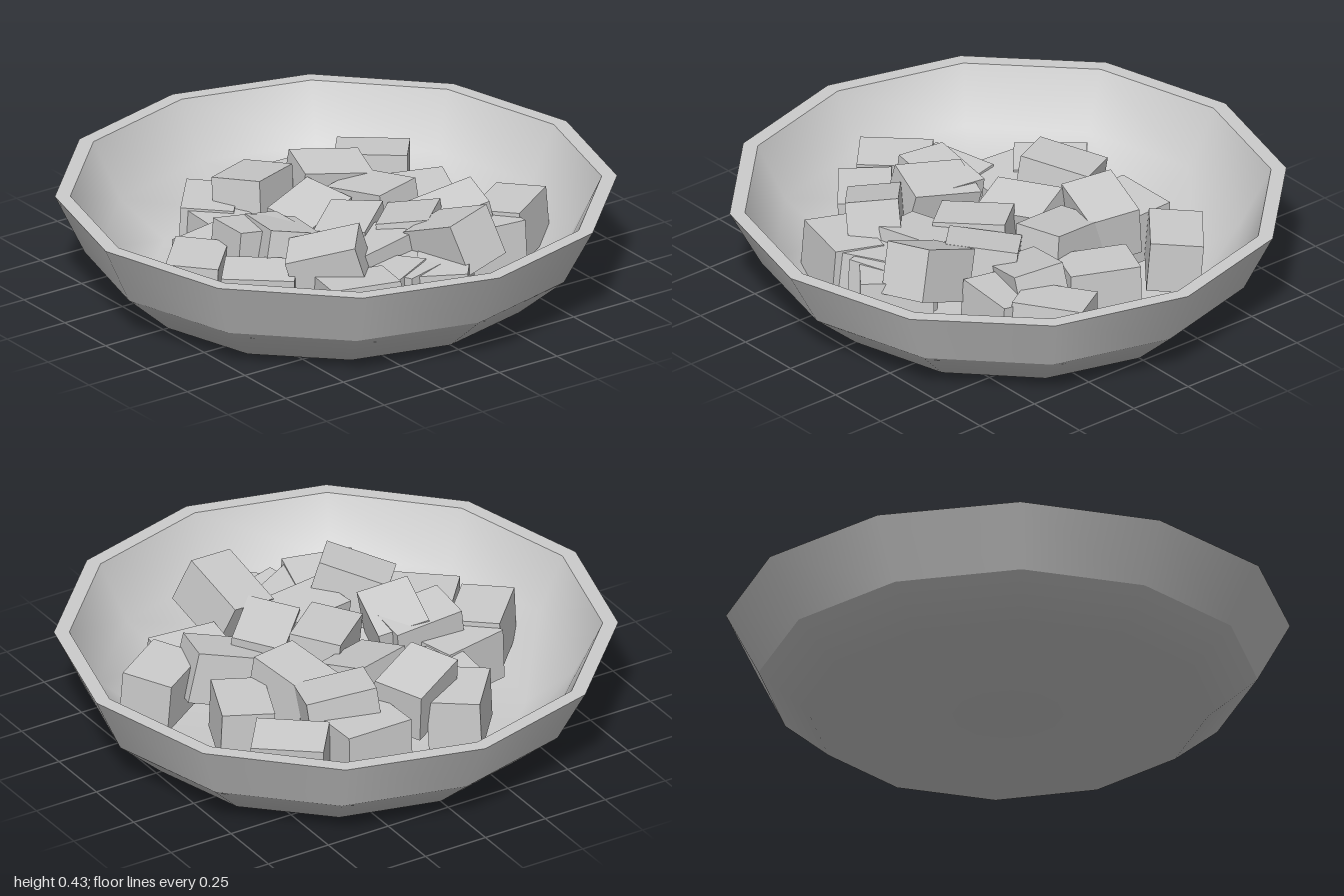
import * as THREE from 'three';

const RIM_Y = 0.365;
const SIDES = 12;

// One turned band of the bowl, slightly narrowed front to back toward the base
function band(name, points, material) {
  const geometry = new THREE.LatheGeometry(points.map(([r, y]) => new THREE.Vector2(r, y)), SIDES);
  const pos = geometry.attributes.position;
  for (let i = 0; i < pos.count; i++) {
    pos.setZ(i, pos.getZ(i) * (1 - 0.04 * (1 - pos.getY(i) / RIM_Y)));
  }
  const mesh = new THREE.Mesh(geometry, material);
  mesh.name = name;
  return mesh;
}

export function createModel() {
  const model = new THREE.Group();
  model.name = 'bowlOfCubes';
  const grey = new THREE.MeshStandardMaterial({ color: 0xcccccc });
  grey.name = 'light grey';

  // Bowl: base, wall, rim and hollow, with sharp edges where the bands meet
  const bowl = new THREE.Group();
  bowl.name = 'bowl';
  bowl.add(
    band('bowlBase', [[0, 0], [0.73, 0], [0.9, 0.15]], grey),
    band('bowlWall', [[0.9, 0.15], [1, RIM_Y]], grey),
    band('bowlRim', [[1, RIM_Y], [0.945, RIM_Y]], grey),
    band('bowlInside', [[0.945, RIM_Y], [0.85, 0.165], [0.68, 0.04], [0, 0.04]], grey),
  );
  model.add(bowl);

  const heap = new THREE.Group();
  heap.name = 'chunks';
  const chunkGeometry = new THREE.BoxGeometry(0.26, 0.19, 0.19);
  function addChunk(x, y, z, yaw, pitch, roll) {
    const chunk = new THREE.Mesh(chunkGeometry, grey);
    chunk.name = 'chunk';
    chunk.position.set(x, y, z);
    chunk.rotation.set(pitch, yaw, roll, 'YXZ');
    heap.add(chunk);
  }

  // Lower layer rising with the bowl floor, rocking alternately: x, z, yaw
  const lowerChunks = [
    [0.44, -0.40, -0.67], [0.14, -0.43, 0], [0.57, 0.26, 0.58],
    [-0.26, -0.41, 0.87], [0.39, 0.34, -0.1], [-0.31, -0.23, 1.5],
    [-0.28, 0.53, -0.25], [-0.615, 0.01, 0.81], [0.07, 0.57, 0.9],
    [-0.50, 0.24, -0.7], [-0.02, 0.51, 0.3], [0.43, -0.06, -1.97],
    [-0.13, 0.50, 0.5], [-0.45, -0.10, 0.2],
  ];
  lowerChunks.forEach(([x, z, yaw], i) => {
    const y = 0.145 + 0.12 * Math.max(0, Math.hypot(x, z) - 0.4);
    addChunk(x, y, z, yaw, i % 2 ? 0.04 : -0.08, 0);
  });

  // Upper layer leaning on the others: x, y, z, yaw, pitch, roll
  const upperChunks = [
    [0.17, 0.225, -0.29, -0.3, 0.1, -0.12],
    [-0.12, 0.235, -0.34, 0.5, -0.1, -0.12],
    [-0.05, 0.19, -0.11, 0.4, 0.2, 0.1],
    [0.21, 0.21, -0.06, -1.35, 0.05, 0.15],
    [-0.36, 0.225, 0.02, -0.07, -0.05, -0.12],
    [-0.31, 0.23, 0.09, -1.85, -0.2, 0.15],
    [-0.03, 0.21, 0.13, 0.7, -0.08, 0.05],
    [-0.29, 0.26, 0.37, -0.7, 0.1, 0.28],
    [-0.07, 0.20, 0.33, 0.2, -0.1, 0.05],
    [0.15, 0.22, 0.25, 0.8, -0.15, -0.1],
    [0.36, 0.20, 0.20, -0.25, 0.1, 0.25],
    [0.16, 0.285, 0.50, -1.37, 0.15, 0.38],
  ];
  for (const chunk of upperChunks) addChunk(...chunk);
  model.add(heap);
  return model;
}
